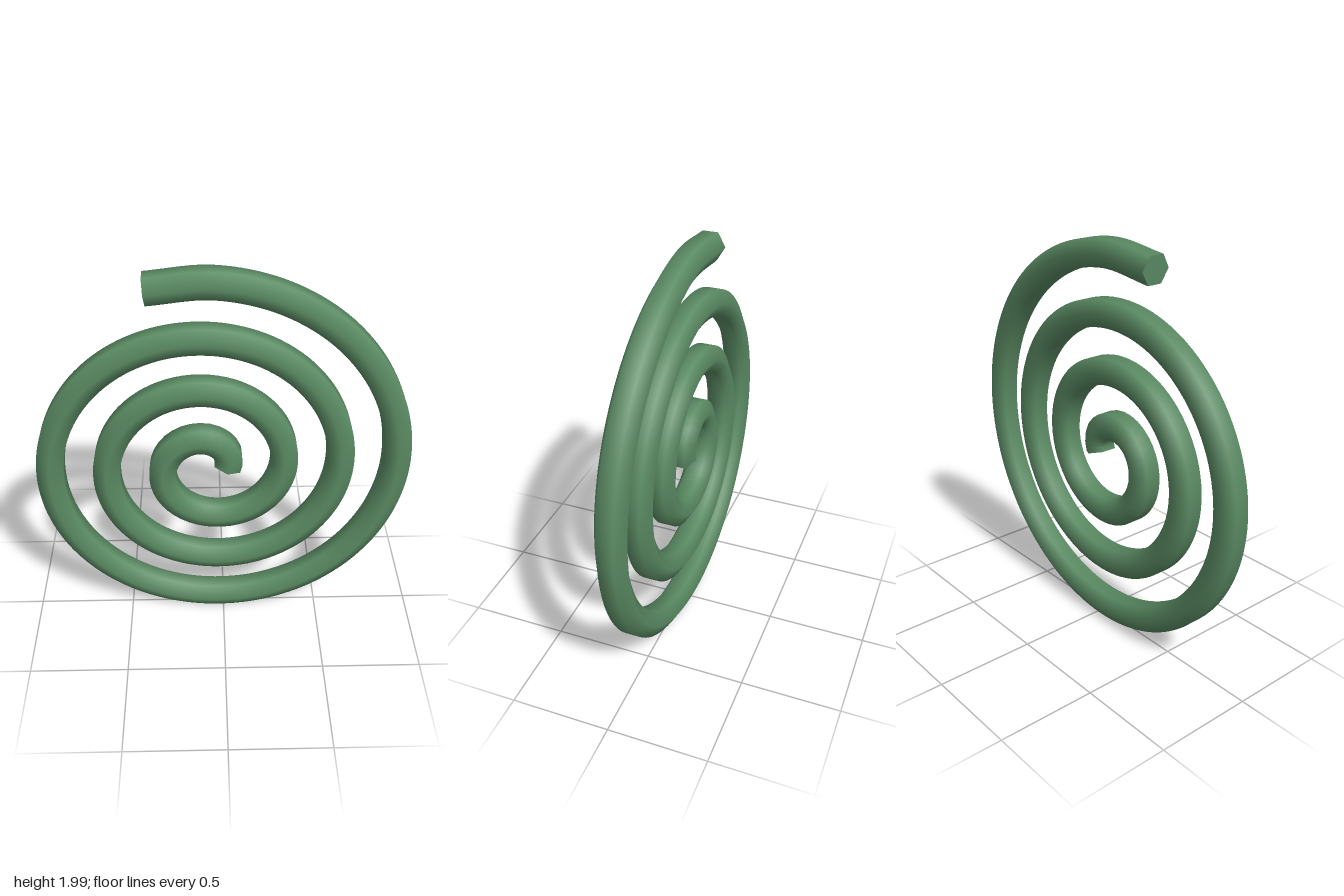
import * as THREE from 'three';

const TUBE_RADIUS = 0.077;
const SIDES = 6;
const START_RADIUS = 0.089;
const PITCH = 0.28; // radial growth per turn
const TURNS = 3.295;
const STEPS = 66;
const CENTRE = { x: -0.07, y: 0.931 };

// Flat spiral growing anticlockwise from the centre
function spiralCurve() {
  const points = [];
  for (let i = 0; i <= STEPS; i++) {
    const turn = (TURNS * i) / STEPS;
    const angle = turn * Math.PI * 2;
    const r = START_RADIUS + PITCH * turn;
    points.push(new THREE.Vector3(CENTRE.x + r * Math.cos(angle), CENTRE.y + r * Math.sin(angle), 0));
  }
  return new THREE.CatmullRomCurve3(points);
}

// Hexagonal end face with two corners on the z axis
function endCap(name, curve, t, direction, material) {
  const normal = curve.getTangentAt(t).multiplyScalar(direction);
  const zAxis = new THREE.Vector3(0, 0, 1);
  const side = new THREE.Vector3().crossVectors(normal, zAxis);
  const geometry = new THREE.CircleGeometry(TUBE_RADIUS, SIDES);
  geometry.applyMatrix4(new THREE.Matrix4().makeBasis(zAxis, side, normal));
  const cap = new THREE.Mesh(geometry, material);
  cap.name = name;
  cap.position.copy(curve.getPointAt(t));
  return cap;
}

export function createModel() {
  const group = new THREE.Group();
  group.name = 'spiralCoil';

  const green = new THREE.MeshStandardMaterial({ color: 0x5b8c64 });
  green.name = 'leafGreen';

  // Six-sided, smooth-shaded coil
  const curve = spiralCurve();
  const coil = new THREE.Mesh(new THREE.TubeGeometry(curve, 320, TUBE_RADIUS, SIDES, false), green);
  coil.name = 'coil';

  group.add(
    coil,
    endCap('innerEnd', curve, 0, -1, green),
    endCap('outerEnd', curve, 1, 1, green)
  );
  return group;
}
